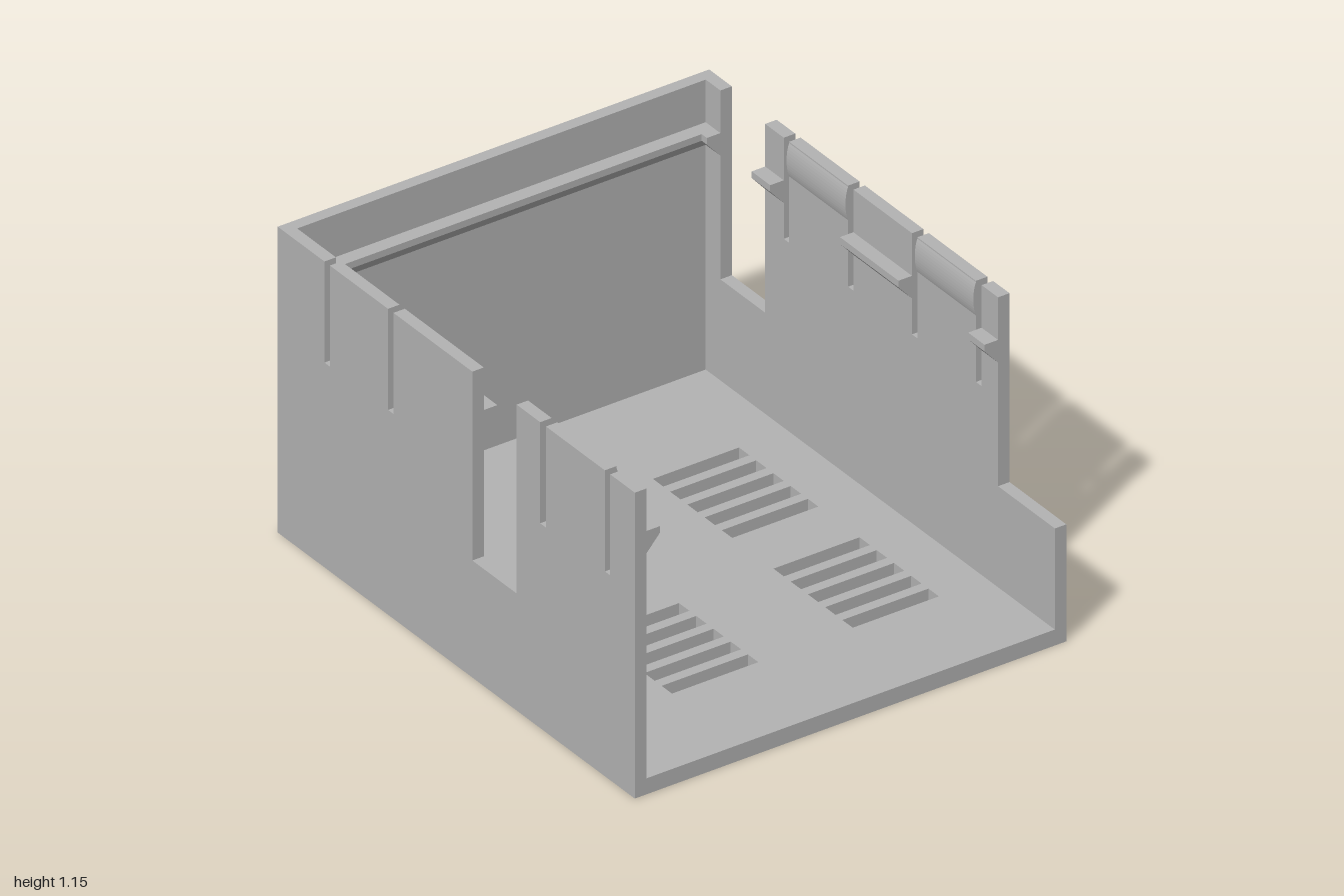
import * as THREE from 'three';

const W = 0.845, T = 0.045, H = 1.15, FLOOR = 0.06;   // half width, wall, height, floor
const IN = W - T, BACK = -1 + T;                      // inner faces of side and back walls
const SLIT = 0.77, NOTCH = 0.44;                      // bottom heights of the cuts

export function createModel() {
  const group = new THREE.Group();
  const grey = new THREE.MeshStandardMaterial({ color: 0xb2b2b2 });
  grey.name = 'plastic grey';

  const add = (name, geometry) => {
    const mesh = new THREE.Mesh(geometry, grey);
    mesh.name = name;
    group.add(mesh);
  };
  const toShape = (pts) => new THREE.Shape(pts.map(([x, y]) => new THREE.Vector2(x, y)));
  const extrude = (shape, depth) =>
    new THREE.ExtrudeGeometry(shape, { depth, bevelEnabled: false, curveSegments: 12 });
  // shape drawn in (z, y), extruded across x0..x1
  const acrossX = (shape, x0, x1) =>
    extrude(shape, x1 - x0).rotateY(-Math.PI / 2).translate(x1, 0, 0);

  // floor with three banks of vent slots
  const floor = toShape([[-W, -1], [W, -1], [W, 1], [-W, 1]]);
  for (const [x0, x1, start] of [[0.275, 0.612, -0.5], [0.275, 0.612, 0.175], [-0.433, -0.095, 0.175]]) {
    for (let i = 0; i < 5; i++) {
      const z0 = start + i * 0.0965, z1 = z0 + 0.058;
      floor.holes.push(new THREE.Path([[x0, z0], [x0, z1], [x1, z1], [x1, z0]]
        .map(([x, z]) => new THREE.Vector2(x, z))));
    }
  }
  add('ventedFloor', extrude(floor, FLOOR).rotateX(Math.PI / 2).translate(0, FLOOR, 0));

  // back wall
  add('backWall', new THREE.BoxGeometry(2 * W, H - FLOOR, T)
    .translate(0, (H + FLOOR) / 2, -1 + T / 2));

  // side wall outline: the top edge drops into each cut [z0, z1, bottom]
  const sideWall = (name, x0, cuts) => {
    const pts = [[1, FLOOR], [BACK, FLOOR], [BACK, H]];
    for (const [z0, z1, y] of cuts) {
      pts.push([z0, H], [z0, y], [z1, y]);
      if (z1 < 1) pts.push([z1, H]);
    }
    if (cuts[cuts.length - 1][1] < 1) pts.push([1, H]);
    add(name, acrossX(toShape(pts), x0, x0 + T));
  };
  sideWall('rightHandWall', IN, [
    [-0.873, -0.622, NOTCH], [-0.518, -0.488, SLIT], [-0.158, -0.128, SLIT],
    [0.2, 0.23, SLIT], [0.558, 0.59, SLIT], [0.682, 1, NOTCH],
  ]);
  sideWall('leftHandWall', -W, [
    [-0.738, -0.708, SLIT], [-0.382, -0.352, SLIT], [0.09, 0.338, NOTCH],
    [0.47, 0.502, SLIT], [0.832, 0.862, SLIT],
  ]);

  // chamfered support ledges along the sides
  const profile = [[0, 0.905], [0.053, 0.965], [0.053, 0.99], [0, 0.99]];
  const ledge = (side, z0, z1) => add('sideLedge',
    extrude(toShape(profile.map(([d, y]) => [side * (IN - d), y])), z1 - z0).translate(0, 0, z0));
  for (const [a, b] of [[BACK, -0.738], [-0.352, 0.09], [0.338, 0.47], [0.862, 1]]) ledge(-1, a, b);
  for (const [a, b] of [[BACK, -0.873], [-0.622, -0.518], [-0.128, 0.2], [0.59, 0.682]]) ledge(1, a, b);
  add('backLedge', acrossX(toShape(profile.map(([d, y]) => [BACK + d, y])), -IN, IN));

  // rounded snap ridges on the flexible tabs
  const ridge = (side, z0, z1) => {
    const s = new THREE.Shape();
    s.moveTo(side * IN, 1.145);
    s.bezierCurveTo(side * (IN - 0.0135), 1.11, side * (IN - 0.0135), 1.055, side * IN, 1.02);
    s.closePath();
    add('snapRidge', extrude(s, z1 - z0).translate(0, 0, z0));
  };
  for (const [a, b] of [[-0.708, -0.382], [0.502, 0.832]]) ridge(-1, a, b);
  for (const [a, b] of [[-0.488, -0.158], [0.23, 0.558]]) ridge(1, a, b);

  return group;
}
